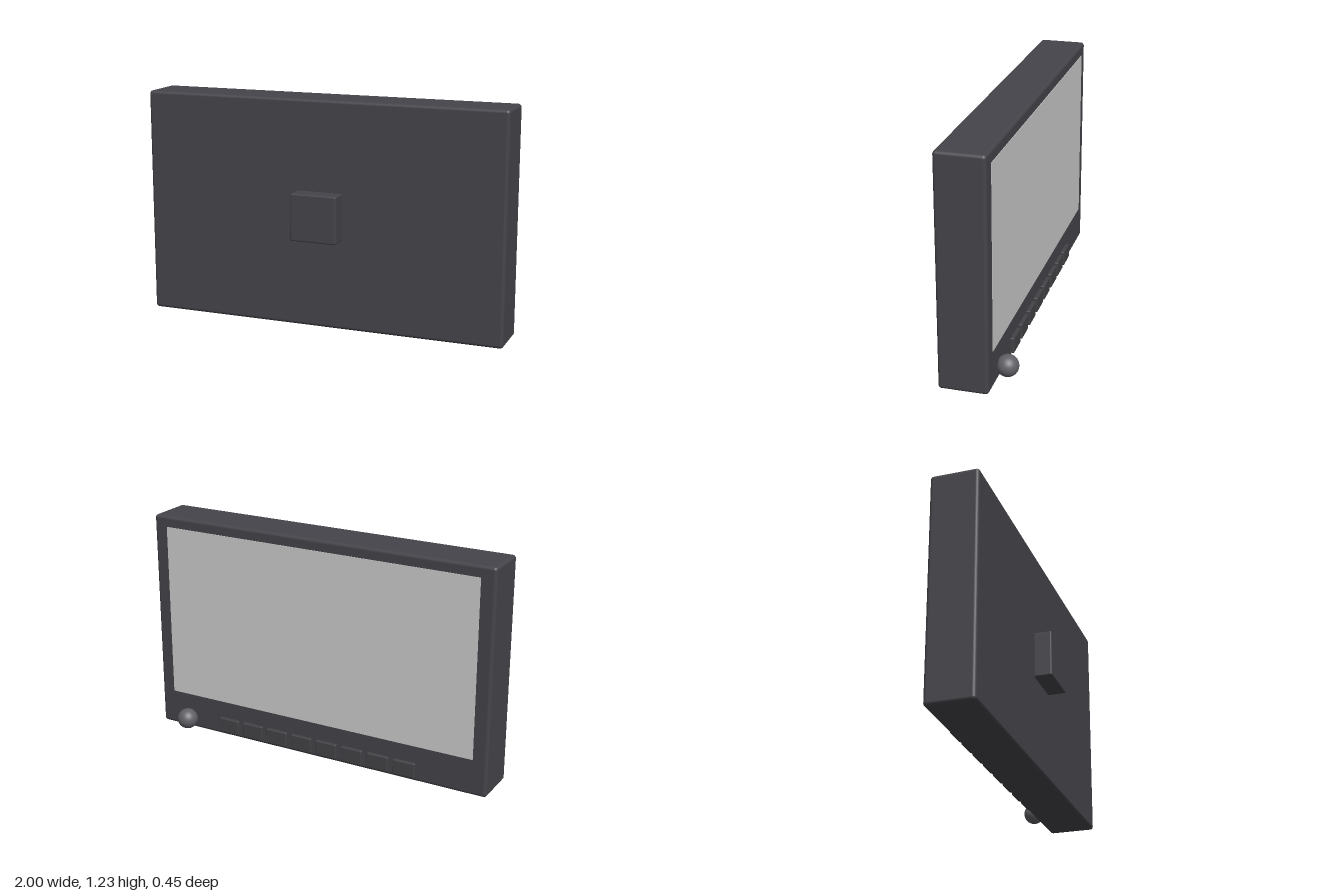
import * as THREE from 'three';
import { RoundedBoxGeometry } from 'three/addons/geometries/RoundedBoxGeometry.js';

const caseMaterial = new THREE.MeshStandardMaterial({ color: 0x45444a });
const buttonMaterial = new THREE.MeshStandardMaterial({ color: 0x434347 });
const knobMaterial = new THREE.MeshStandardMaterial({ color: 0x606066 });
const screenMaterial = new THREE.MeshStandardMaterial({ color: 0xcccccc });

function addPart(parent, name, geometry, material, x, y, z) {
  const mesh = new THREE.Mesh(geometry, material);
  mesh.name = name;
  mesh.position.set(x, y, z);
  parent.add(mesh);
  return mesh;
}

export function createModel() {
  const model = new THREE.Group();
  model.name = 'monitor';

  // Casing, with its display side towards -z
  addPart(model, 'casing', new RoundedBoxGeometry(2, 1.225, 0.256, 4, 0.018), caseMaterial, 0, 0.6125, 0.002);

  // Mounting block
  addPart(model, 'mountBlock', new RoundedBoxGeometry(0.254, 0.254, 0.1, 3, 0.008), caseMaterial, -0.002, 0.613, 0.175);

  // Display panel, barely proud of the casing
  addPart(model, 'screen', new THREE.BoxGeometry(1.84, 0.965, 0.01), screenMaterial, 0, 0.6825, -0.1235);

  // Row of buttons below the display
  const buttons = new THREE.Group();
  buttons.name = 'buttons';
  model.add(buttons);
  const buttonGeometry = new RoundedBoxGeometry(0.125, 0.084, 0.03, 3, 0.006);
  for (let i = 0; i < 8; i++) {
    addPart(buttons, `button${i + 1}`, buttonGeometry, buttonMaterial, (i - 3.5) * 0.155, 0.064, -0.13);
  }

  // Round control knob
  addPart(model, 'knob', new THREE.SphereGeometry(0.057, 32, 20), knobMaterial, 0.805, 0.067, -0.168);

  return model;
}
